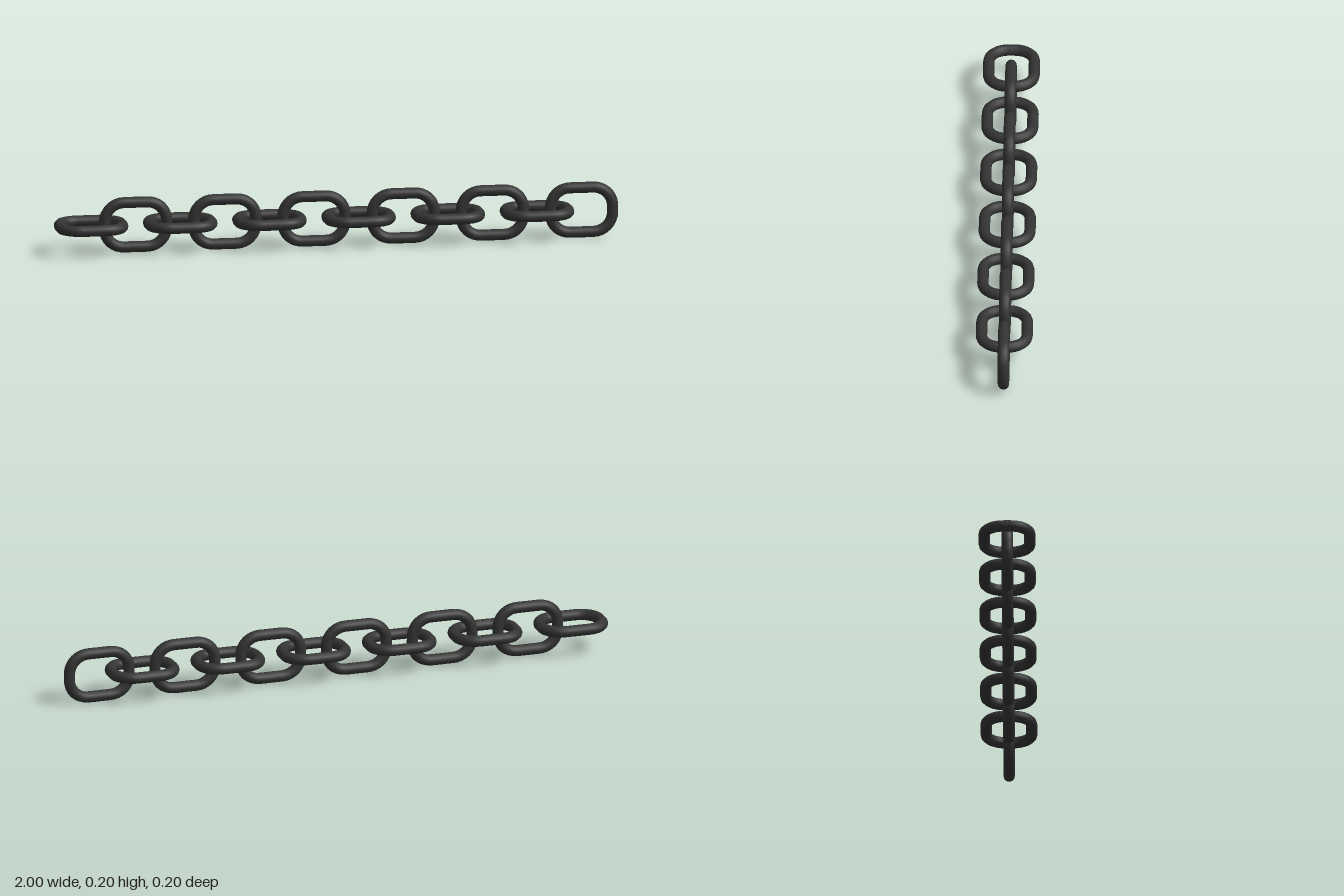
import * as THREE from 'three';

const LINKS = 12;
const LENGTH = 0.26; // outer length of a link
const HEIGHT = 0.2; // outer height of a link
const WIRE = 0.02; // wire radius
const CORNER = 0.068; // bend radius of the wire's centre line

// Wire bent into a closed rounded loop in the xy plane
function linkGeometry() {
  const w = LENGTH / 2 - WIRE - CORNER;
  const h = HEIGHT / 2 - WIRE - CORNER;
  const outline = new THREE.Path();
  outline.moveTo(0, -h - CORNER);
  outline.absarc(w, -h, CORNER, -Math.PI / 2, 0);
  outline.absarc(w, h, CORNER, 0, Math.PI / 2);
  outline.absarc(-w, h, CORNER, Math.PI / 2, Math.PI);
  outline.absarc(-w, -h, CORNER, Math.PI, Math.PI * 1.5);
  outline.lineTo(0, -h - CORNER);
  const points = outline.getSpacedPoints(40).slice(0, -1);
  const path = new THREE.CatmullRomCurve3(points.map((p) => new THREE.Vector3(p.x, p.y, 0)), true);
  return new THREE.TubeGeometry(path, 48, WIRE, 12, true);
}

export function createModel() {
  const chain = new THREE.Group();
  chain.name = 'chain';
  const material = new THREE.MeshStandardMaterial({ color: 0x333333 });
  const geometry = linkGeometry();
  const pitch = (2 - LENGTH) / (LINKS - 1);

  // Links alternate between lying flat and standing upright
  for (let i = 0; i < LINKS; i++) {
    const flat = i % 2 === 0;
    const link = new THREE.Mesh(geometry, material);
    link.name = (flat ? 'flatLink' : 'uprightLink') + (Math.floor(i / 2) + 1);
    link.position.set(-1 + LENGTH / 2 + i * pitch, HEIGHT / 2, 0);
    if (flat) link.rotation.x = Math.PI / 2;
    chain.add(link);
  }
  return chain;
}
